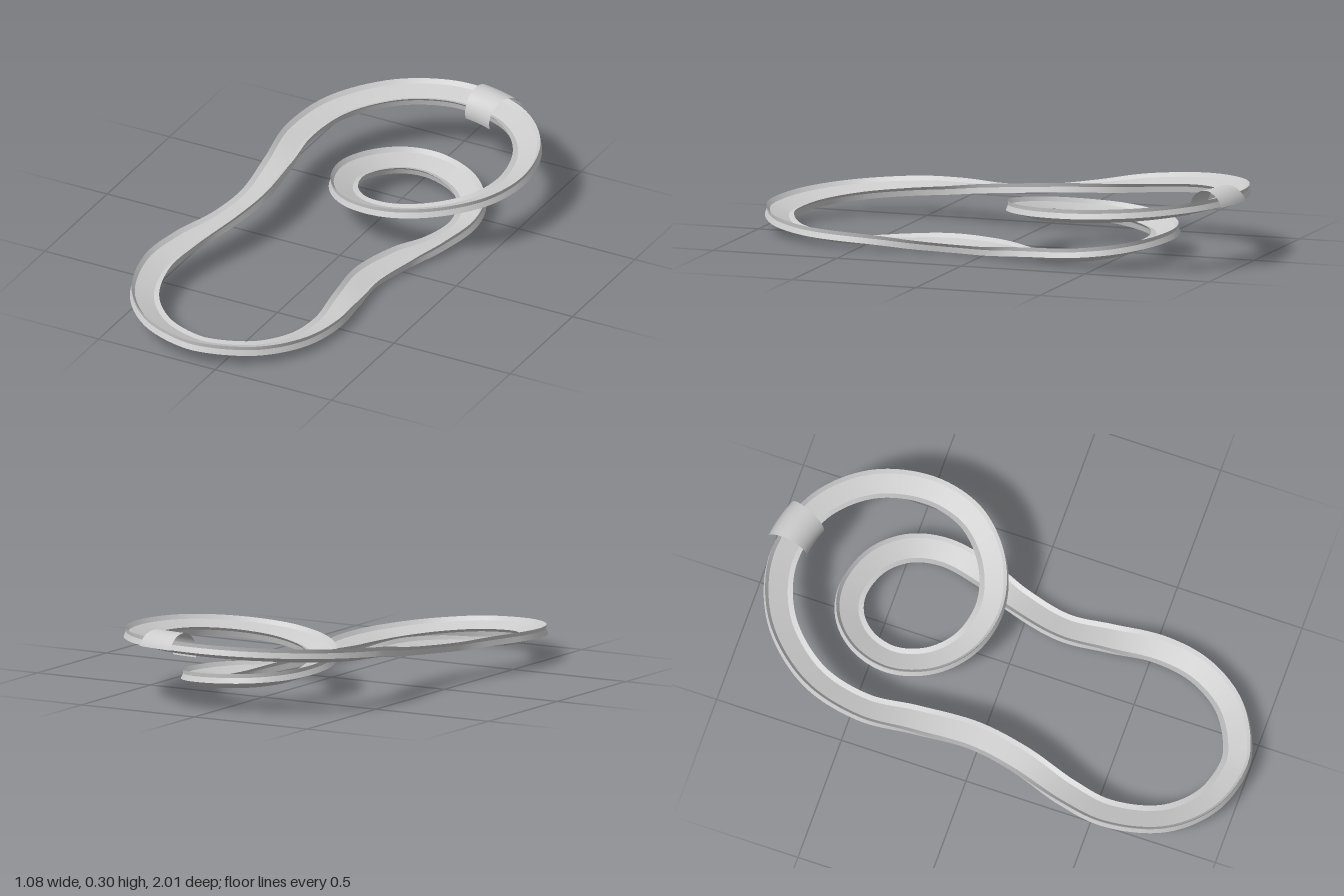
import * as THREE from 'three';
import { mergeGeometries } from 'three/addons/utils/BufferGeometryUtils.js';

// Centre line of the closed circuit: x, height, z
const PATH = [
  [0.06, 0.247, -0.932], [0.28, 0.243, -0.872], [0.435, 0.233, -0.71], [0.488, 0.222, -0.5],
  [0.45, 0.213, -0.33], [0.365, 0.203, -0.225], [0.25, 0.19, -0.155], [0.12, 0.175, -0.13],
  [-0.025, 0.155, -0.17], [-0.13, 0.135, -0.275], [-0.172, 0.118, -0.42], [-0.135, 0.102, -0.55],
  [-0.05, 0.092, -0.635], [0.06, 0.083, -0.662], [0.205, 0.068, -0.617], [0.3, 0.052, -0.515],
  [0.333, 0.04, -0.38], [0.3, 0.034, -0.21], [0.24, 0.033, -0.06], [0.194, 0.033, 0.14],
  [0.21, 0.033, 0.32], [0.231, 0.034, 0.52], [0.2, 0.038, 0.69], [0.1, 0.048, 0.84],
  [-0.05, 0.061, 0.927], [-0.14, 0.067, 0.94], [-0.3, 0.08, 0.893], [-0.43, 0.096, 0.76],
  [-0.487, 0.115, 0.55], [-0.463, 0.128, 0.38], [-0.4, 0.144, 0.17], [-0.372, 0.16, -0.02],
  [-0.392, 0.18, -0.25], [-0.417, 0.2, -0.45], [-0.37, 0.22, -0.66], [-0.24, 0.235, -0.825],
  [-0.1, 0.243, -0.905],
];
const STEPS = 360;

// Frames along the path, banked according to how tightly it turns
function makeFrames() {
  const curve = new THREE.CatmullRomCurve3(PATH.map((p) => new THREE.Vector3(...p)), true);
  const pts = curve.getSpacedPoints(STEPS).slice(0, STEPS);
  const at = (list, i) => list[(i + STEPS) % STEPS];
  const heading = pts.map((_, i) => {
    const d = at(pts, i + 1).clone().sub(at(pts, i - 1));
    return Math.atan2(d.z, d.x);
  });
  const step = curve.getLength() / STEPS;
  const reach = 10;
  const turn = pts.map((_, i) => {
    const d = at(heading, i + reach) - at(heading, i - reach);
    return Math.atan2(Math.sin(d), Math.cos(d)) / (2 * reach * step);
  });
  return pts.map((origin, i) => {
    let k = 0;
    for (let j = -8; j <= 8; j++) k += at(turn, i + j) / 17;
    const bank = 0.33 * Math.tanh(k / 1.5);
    const side = new THREE.Vector3(Math.sin(heading[i]), 0, -Math.cos(heading[i]));
    const up = new THREE.Vector3(0, 1, 0);
    const c = Math.cos(bank), s = Math.sin(bank);
    return {
      origin,
      u: side.clone().multiplyScalar(c).addScaledVector(up, s),
      v: up.clone().multiplyScalar(c).addScaledVector(side, -s),
    };
  });
}

// Sweeps an open (u, v) polyline along frames as one smooth strip
function sweep(frames, line, closed) {
  const n = line.length;
  const pos = [], index = [];
  for (const f of frames) {
    for (const [u, v] of line) {
      pos.push(...f.origin.clone().addScaledVector(f.u, u).addScaledVector(f.v, v).toArray());
    }
  }
  const rows = closed ? frames.length : frames.length - 1;
  for (let i = 0; i < rows; i++) {
    const next = (i + 1) % frames.length;
    for (let j = 0; j < n - 1; j++) {
      const a = i * n + j, c = next * n + j;
      index.push(a, a + 1, c, a + 1, c + 1, c);
    }
  }
  const g = new THREE.BufferGeometry();
  g.setAttribute('position', new THREE.Float32BufferAttribute(pos, 3));
  g.setIndex(index);
  g.computeVertexNormals();
  return g;
}

export function createModel() {
  const group = new THREE.Group();
  const frames = makeFrames();

  // Track: dished road with raised lips, grooved sides and a flat underside
  const half = [[0.046, -0.016], [0.049, 0.006], [0.055, 0.02], [0.038, 0.008]];
  const profile = [...half, ...half.map(([u, v]) => [-u, v]).reverse()];
  // The groove pinches the sides in just below the lips
  profile[0][0] = 0.05;
  profile[7][0] = -0.05;
  profile[1][0] = 0.048;
  profile[6][0] = -0.048;
  const strips = profile.map((p, i) => sweep(frames, [p, profile[(i + 1) % profile.length]], true));
  const track = new THREE.Mesh(
    mergeGeometries(strips),
    new THREE.MeshStandardMaterial({ color: 0xcccccc }),
  );
  track.name = 'track';
  group.add(track);

  // Arch: thin rounded shell straddling the highest stretch of track
  const inArch = frames.filter(
    (f) => f.origin.z < -0.8 && f.origin.x > 0.087 && f.origin.x < 0.238,
  );
  const arc = [];
  for (let i = 0; i <= 28; i++) {
    const a = (Math.PI * i) / 28;
    arc.push([0.082 * Math.cos(a), -0.02 + 0.08 * Math.sin(a)]);
  }
  const arch = new THREE.Mesh(
    sweep(inArch, arc, false),
    new THREE.MeshStandardMaterial({ color: 0xcccccc, side: THREE.DoubleSide }),
  );
  arch.name = 'archOverTrack';
  group.add(arch);

  // Rest on the ground, centred
  const box = new THREE.Box3().setFromObject(group);
  const mid = box.getCenter(new THREE.Vector3());
  for (const m of group.children) m.position.set(-mid.x, -box.min.y, -mid.z);
  return group;
}
